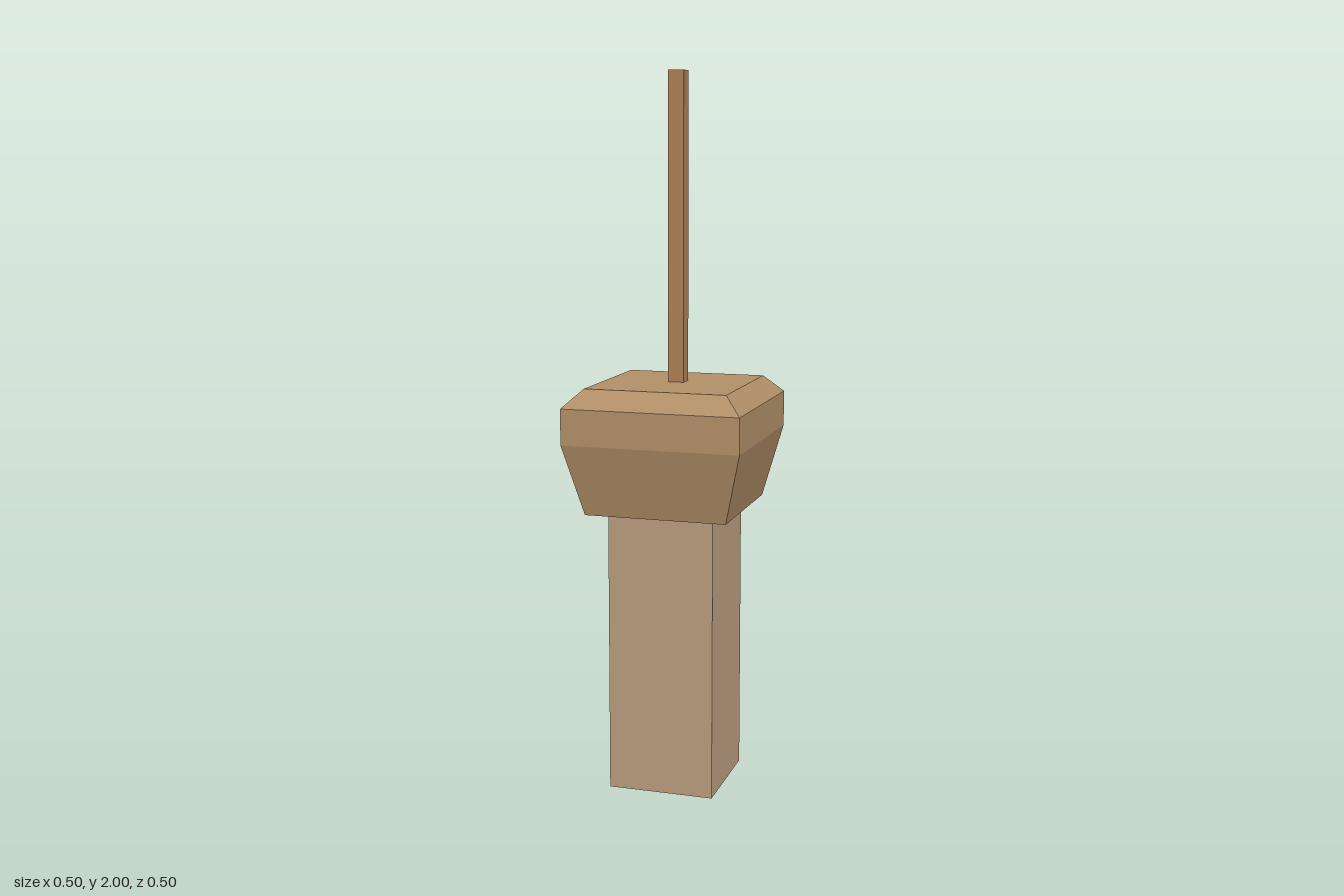
import * as THREE from 'three';

const material = (color) => new THREE.MeshStandardMaterial({ color, flatShading: true });

// Square solid from a profile of [half width, height] points, bottom to top
function squareSolid(name, profile, color) {
  const points = profile.map(([half, y]) => new THREE.Vector2(half * Math.SQRT2, y));
  const geometry = new THREE.LatheGeometry(points, 4).rotateY(Math.PI / 4);
  const mesh = new THREE.Mesh(geometry, material(color));
  mesh.name = name;
  return mesh;
}

function box(name, width, bottom, top, z, color) {
  const mesh = new THREE.Mesh(new THREE.BoxGeometry(width, top - bottom, width), material(color));
  mesh.position.set(0, (bottom + top) / 2, z);
  mesh.name = name;
  return mesh;
}

export function createModel() {
  const model = new THREE.Group();
  model.name = 'post';

  // Square shaft standing on the ground
  model.add(box('shaft', 0.3, 0, 0.8, 0, 0xba9d7e));

  // Flared head with a bevelled top
  model.add(squareSolid('head', [
    [0, 0.8], [0.2, 0.8], [0.25, 1.0], [0.25, 1.1], [0.2, 1.15], [0, 1.15],
  ], 0xb28f68));

  // Thin rod, set slightly behind the centre
  model.add(box('rod', 0.045, 1.15, 2, -0.02, 0xac8255));

  return model;
}
